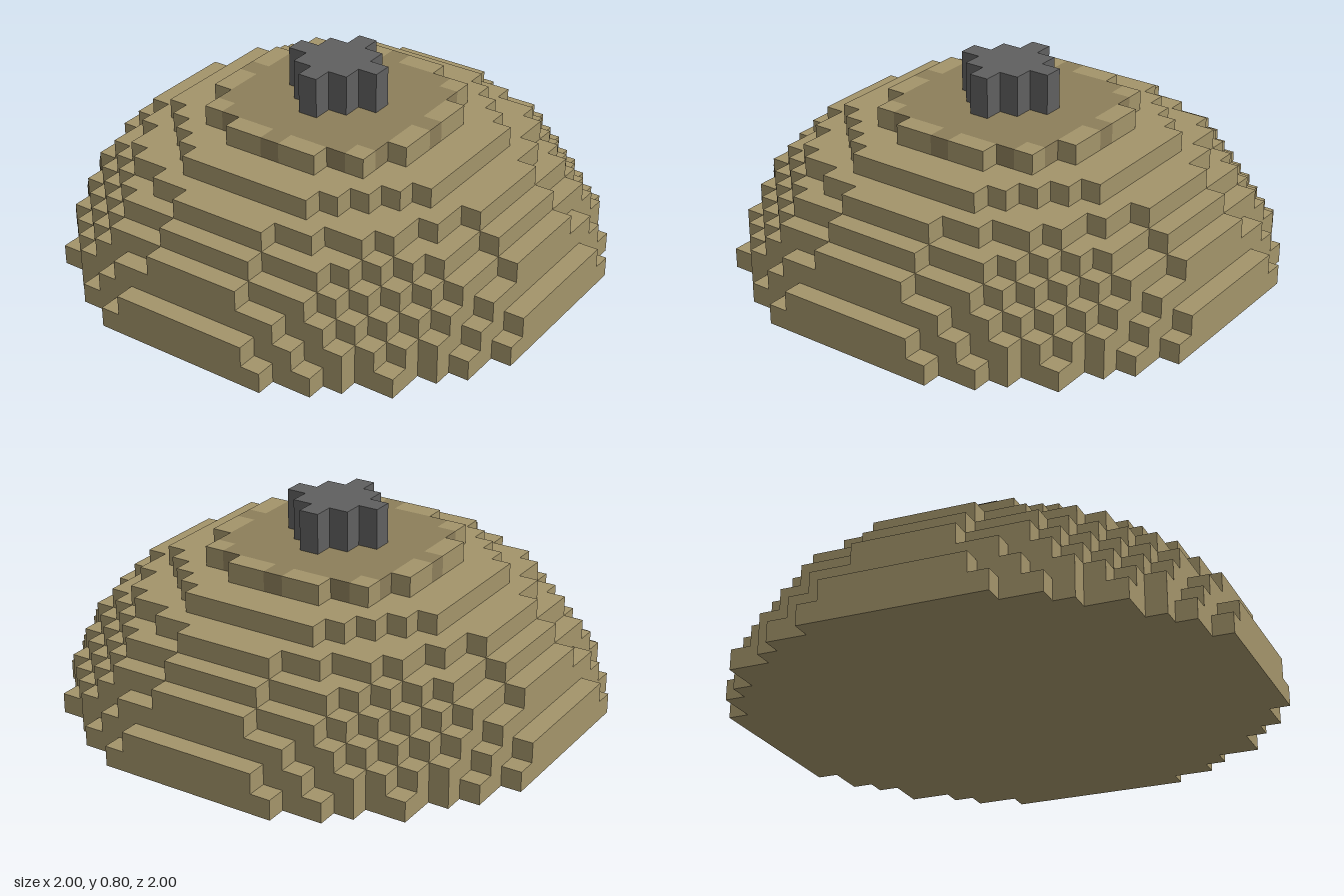
import * as THREE from 'three';

const U = 0.08; // size of one block
const LAYERS = 8; // block layers in the dome

const tan = new THREE.MeshStandardMaterial({ color: 0xa3946a });
const brown = new THREE.MeshStandardMaterial({ color: 0x8c7e5a });
const grey = new THREE.MeshStandardMaterial({ color: 0x5f5f5f });

// Stepped outline of all blocks whose squared distance from the axis is at most limit
function blockDisc(limit) {
  const last = Math.floor(Math.sqrt(limit));
  const right = [];
  for (let row = -last; row <= last; row++) {
    const half = Math.floor(Math.sqrt(limit - row * row)) + 0.5;
    const prev = right[right.length - 1];
    if (prev && prev.x === half) prev.y = row + 0.5;
    else right.push(new THREE.Vector2(half, row - 0.5), new THREE.Vector2(half, row + 0.5));
  }
  const left = right.map((p) => new THREE.Vector2(-p.x, p.y)).reverse();
  return new THREE.Shape([...right, ...left].map((p) => p.multiplyScalar(U)));
}

// Stepped disc standing on the given layer
function addDisc(parent, name, limit, layer, height, material) {
  const geometry = new THREE.ExtrudeGeometry(blockDisc(limit), { depth: height * U, bevelEnabled: false });
  geometry.rotateX(-Math.PI / 2);
  const mesh = new THREE.Mesh(geometry, material);
  mesh.name = name;
  mesh.position.y = layer * U;
  parent.add(mesh);
}

// Box covering some blocks of the top layer
function addRimBox(parent, x, z, width) {
  const mesh = new THREE.Mesh(new THREE.BoxGeometry(width * U, U, U), tan);
  mesh.name = 'rimBlock';
  mesh.position.set(x * U, (LAYERS - 0.5) * U, z * U);
  parent.add(mesh);
}

export function createModel() {
  const model = new THREE.Group();
  model.name = 'blockDome';

  // Dome: slices of an ellipsoid 13 blocks wide and 10 high in radius, cut above its centre
  const dome = new THREE.Group();
  dome.name = 'dome';
  for (let layer = 0; layer < LAYERS - 1; layer++) {
    const limit = 169 * (1 - ((layer + 2) / 10) ** 2);
    addDisc(dome, 'domeLayer', limit, layer, 1, tan);
  }
  model.add(dome);

  // Darker crown forming the middle of the top layer
  addDisc(model, 'crown', 25, LAYERS - 1, 1, brown);

  // Lighter blocks filling the top layer around the crown
  const rim = new THREE.Group();
  rim.name = 'crownRim';
  for (let i = 0; i < 4; i++) {
    const side = new THREE.Group();
    side.name = 'rimSide';
    addRimBox(side, -1.5, 5, 2);
    addRimBox(side, 1.5, 5, 2);
    addRimBox(side, 4, 4, 1);
    side.rotation.y = (i * Math.PI) / 2;
    rim.add(side);
  }
  model.add(rim);

  // Knob on top, two blocks high
  addDisc(model, 'knob', 4, LAYERS, 2, grey);

  return model;
}
